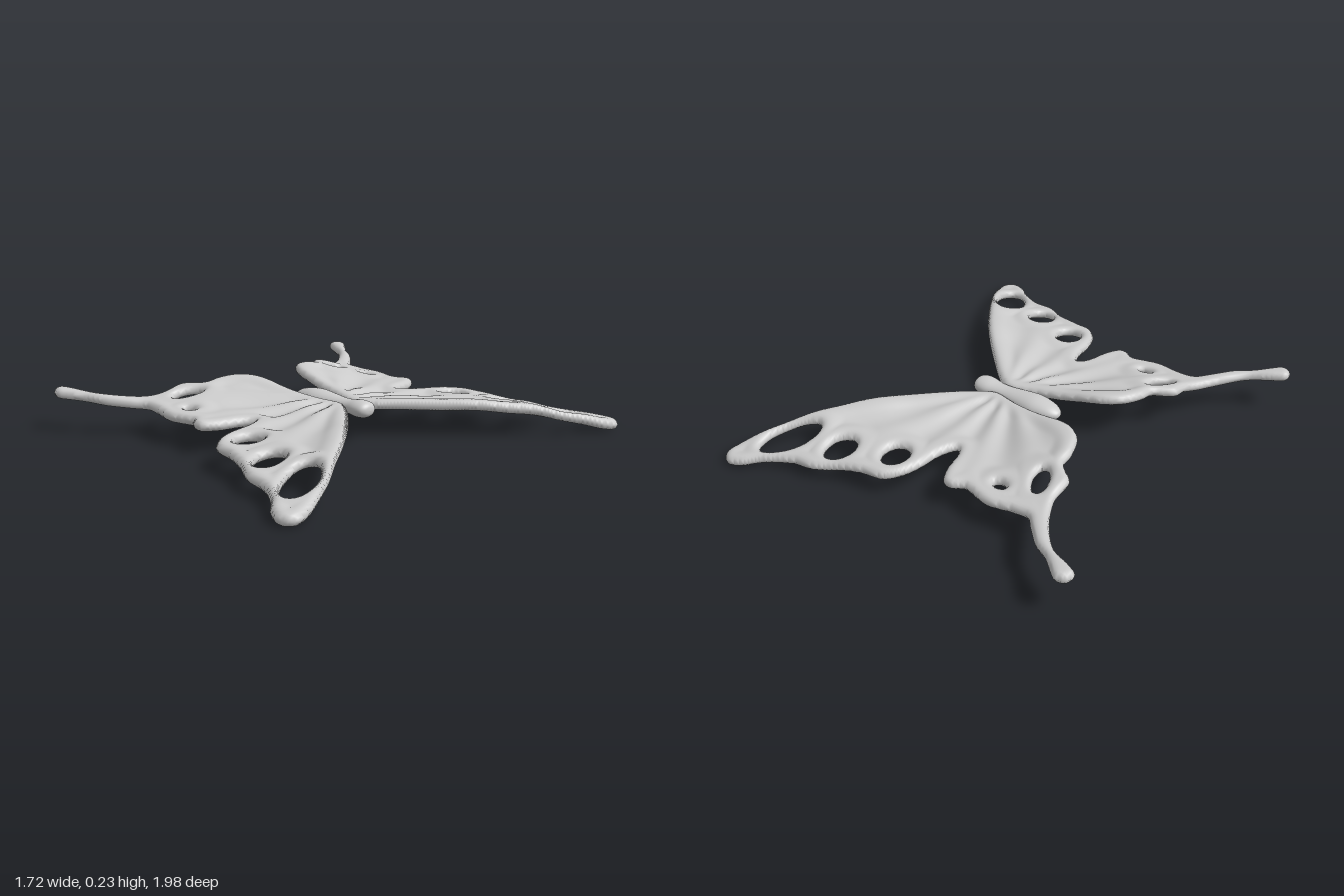
import * as THREE from 'three';
import { mergeVertices } from 'three/addons/utils/BufferGeometryUtils.js';

// wing outline seen from above, as x, z
const OUTLINE = [
  [0.11, 0.033], [0.16, 0.053], [0.29, 0.165], [0.505, 0.385], [0.665, 0.59], [0.77, 0.74],
  [0.845, 0.89], [0.853, 0.955], [0.81, 0.992], [0.745, 0.973], [0.675, 0.915], [0.56, 0.855],
  [0.455, 0.84], [0.345, 0.785], [0.24, 0.755], [0.15, 0.74], [0.093, 0.68], [0.066, 0.61],
  [0.045, 0.49], [0.008, 0.43], [-0.02, 0.46], [-0.05, 0.57], [-0.093, 0.635], [-0.13, 0.637],
  [-0.18, 0.61], [-0.246, 0.625], [-0.315, 0.638], [-0.42, 0.62], [-0.5, 0.62], [-0.55, 0.667],
  [-0.63, 0.745], [-0.71, 0.792], [-0.765, 0.84], [-0.81, 0.873], [-0.853, 0.857], [-0.858, 0.815],
  [-0.817, 0.788], [-0.71, 0.738], [-0.63, 0.655], [-0.57, 0.57], [-0.537, 0.49], [-0.537, 0.4],
  [-0.5, 0.365], [-0.457, 0.33], [-0.452, 0.265], [-0.415, 0.175], [-0.34, 0.12], [-0.18, 0.09],
  [-0.024, 0.063],
];

// oval holes: x, z, half width, half length, tilt of the long axis
const HOLES = [
  [0.19, 0.61, 0.055, 0.063, 0.1], [0.42, 0.7, 0.058, 0.072, 0.4], [0.66, 0.76, 0.066, 0.135, 0.56],
  [-0.43, 0.443, 0.034, 0.067, -0.42], [-0.297, 0.533, 0.03, 0.018, 0],
];

// heights of the wing's middle surface: x, z, y
const HEIGHTS = [
  [0.1, 0.05, 0.14], [0.3, 0.2, 0.145], [0.5, 0.4, 0.147], [0.65, 0.58, 0.125], [0.75, 0.75, 0.08],
  [0.82, 0.95, 0.02], [0.65, 0.87, 0.045], [0.45, 0.8, 0.065], [0.2, 0.72, 0.09], [0.1, 0.6, 0.105],
  [0, 0.4, 0.118], [0.25, 0.45, 0.118], [0.45, 0.6, 0.108], [-0.1, 0.6, 0.118], [-0.1, 0.1, 0.155],
  [-0.15, 0.3, 0.128], [-0.25, 0.14, 0.19], [-0.36, 0.16, 0.22], [-0.42, 0.25, 0.205], [-0.5, 0.4, 0.182],
  [-0.3, 0.38, 0.148], [-0.3, 0.6, 0.118], [-0.45, 0.6, 0.125], [-0.6, 0.67, 0.143], [-0.7, 0.77, 0.16],
  [-0.83, 0.85, 0.18],
];

const edge = new THREE.CatmullRomCurve3(
  OUTLINE.map(([x, z]) => new THREE.Vector3(x, 0, z)), true).getPoints(260);

// distance to the nearest rim, positive inside the wing
function rimDistance(x, z) {
  let best = Infinity, inside = false;
  for (let i = 0; i < edge.length - 1; i++) {
    const a = edge[i], b = edge[i + 1], dx = b.x - a.x, dz = b.z - a.z;
    const t = THREE.MathUtils.clamp(((x - a.x) * dx + (z - a.z) * dz) / (dx * dx + dz * dz || 1), 0, 1);
    best = Math.min(best, Math.hypot(x - a.x - t * dx, z - a.z - t * dz));
    if ((a.z > z) !== (b.z > z) && x < a.x + (z - a.z) / dz * dx) inside = !inside;
  }
  let d = inside ? best : -best;
  for (const [cx, cz, w, l, tilt] of HOLES) {
    const c = Math.cos(tilt), s = Math.sin(tilt);
    const u = (x - cx) * c - (z - cz) * s, v = (x - cx) * s + (z - cz) * c;
    const k = Math.hypot(u / w, v / l);
    d = Math.min(d, k < 0.05 ? -Math.min(w, l) : (k - 1) * k / Math.hypot(u / w / w, v / l / l));
  }
  return d;
}

// middle surface: blended heights plus shallow veins fanning from the root
function middle(x, z, d) {
  let sum = 0, total = 1e-12;
  for (const [px, pz, h] of HEIGHTS) {
    const w = Math.exp(-((x - px) ** 2 + (z - pz) ** 2) / 0.018);
    sum += w * h;
    total += w;
  }
  const angle = Math.atan2(z + 0.05, x - 0.08);
  return sum / total + 0.007 * Math.sin(angle * 17) * THREE.MathUtils.smoothstep(d, 0.03, 0.1);
}

// rounded rim with a slightly thinner membrane inside
function halfThickness(d) {
  const r = 1 - Math.min(d / 0.032, 1);
  return 0.025 * Math.sqrt(Math.max(0, 1 - r * r)) - 0.009 * THREE.MathUtils.smoothstep(d, 0.035, 0.1);
}

// a fine grid clipped to the outline, lifted to an upper and a lower skin
function wingGeometry(side) {
  const step = 0.0105, x0 = -0.88, nx = Math.ceil(1.76 / step), nz = Math.ceil(1.01 / step);
  const grid = [];
  for (let j = 0; j <= nz; j++) {
    for (let i = 0; i <= nx; i++) {
      const x = x0 + i * step, z = j * step;
      let d = rimDistance(x, z);
      if (Math.abs(d) < 0.0008) d = 0;
      grid.push({ x, z, d });
    }
  }
  const positions = [];
  const put = (p, sign) => positions.push(
    p.x, middle(p.x, p.z, p.d) + sign * halfThickness(p.d), p.z * side);
  const clip = (tri) => {
    const poly = [];
    tri.forEach((a, k) => {
      const b = tri[(k + 1) % 3];
      if (a.d > 0) poly.push(a);
      if ((a.d > 0) !== (b.d > 0)) {
        const t = a.d / (a.d - b.d);
        poly.push({ x: a.x + (b.x - a.x) * t, z: a.z + (b.z - a.z) * t, d: 0 });
      }
    });
    for (let k = 1; k + 1 < poly.length; k++) {
      const up = [poly[0], poly[k], poly[k + 1]], down = [poly[0], poly[k + 1], poly[k]];
      (side > 0 ? up : down).forEach((p) => put(p, 1));
      (side > 0 ? down : up).forEach((p) => put(p, -1));
    }
  };
  for (let j = 0; j < nz; j++) {
    for (let i = 0; i < nx; i++) {
      const a = grid[j * (nx + 1) + i], b = grid[j * (nx + 1) + i + 1];
      const c = grid[(j + 1) * (nx + 1) + i], e = grid[(j + 1) * (nx + 1) + i + 1];
      clip([a, c, b]);
      clip([b, c, e]);
    }
  }
  let g = new THREE.BufferGeometry();
  g.setAttribute('position', new THREE.Float32BufferAttribute(positions, 3));
  g = mergeVertices(g, 1e-5);
  g.computeVertexNormals();
  return g;
}

export function createModel() {
  const group = new THREE.Group();
  const material = new THREE.MeshStandardMaterial({ color: 0xcccccc, roughness: 0.7 });
  const add = (name, geometry) => {
    const mesh = new THREE.Mesh(geometry, material);
    mesh.name = name;
    group.add(mesh);
    return mesh;
  };

  add('frontWing', wingGeometry(1));
  add('backWing', wingGeometry(-1));

  // body: tapered abdomen, waist and round head, turned along x
  const profile = new THREE.SplineCurve([
    [0, -0.2], [0.022, -0.193], [0.045, -0.16], [0.06, -0.1], [0.062, -0.05], [0.05, 0.03],
    [0.042, 0.09], [0.043, 0.14], [0.052, 0.19], [0.048, 0.23], [0.028, 0.25], [0, 0.255],
  ].map(([r, x]) => new THREE.Vector2(r, x))).getPoints(44);
  profile.forEach((p) => { p.x = Math.max(0, p.x); });
  const body = add('body', new THREE.LatheGeometry(profile, 32).rotateZ(-Math.PI / 2));
  body.scale.y = 0.72;
  body.position.y = 0.142;

  return group;
}
